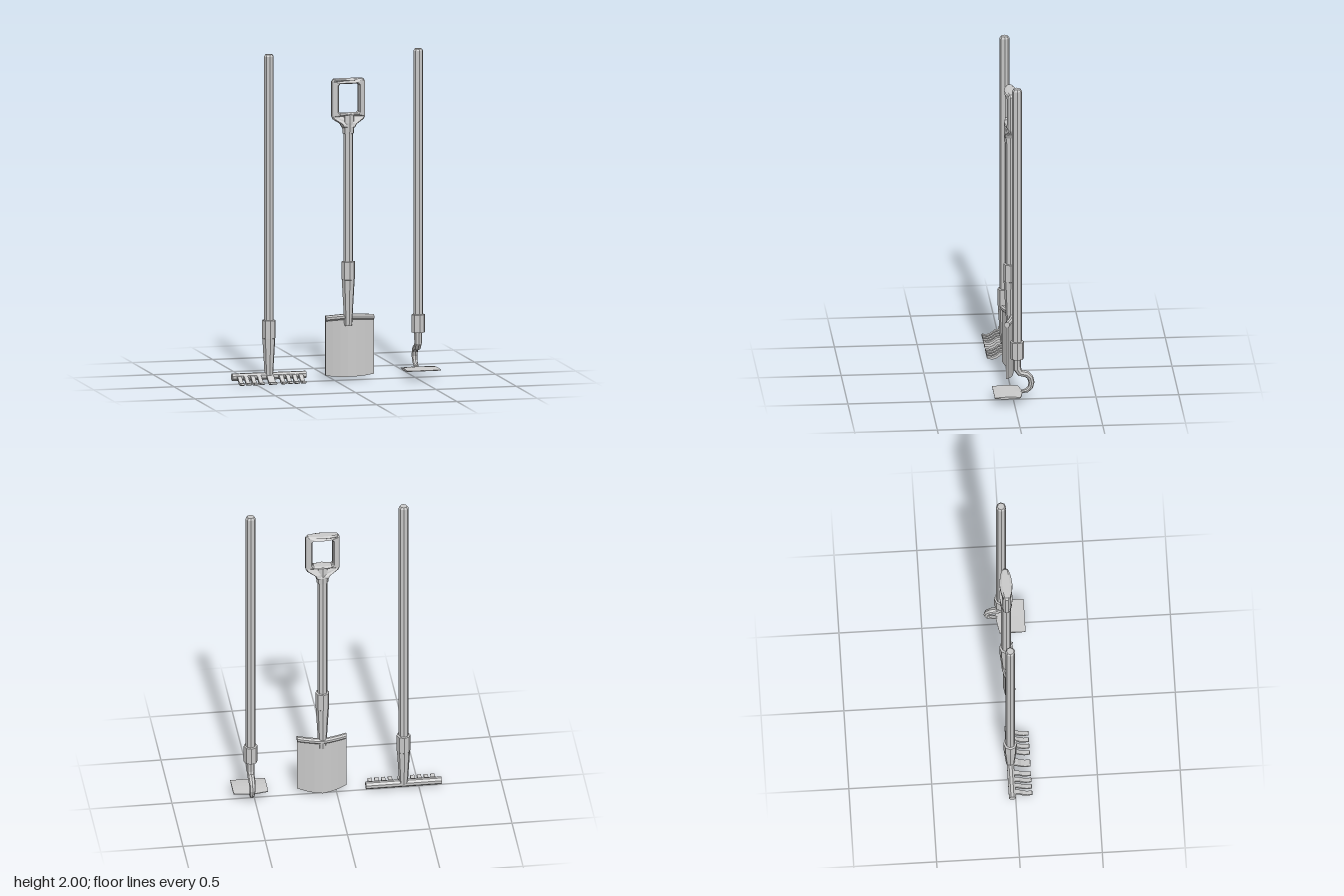
import * as THREE from 'three';

const material = new THREE.MeshStandardMaterial({ color: 0xcccccc, flatShading: true, side: THREE.DoubleSide });

function add(group, name, geometry, x = 0, y = 0, z = 0) {
  const mesh = new THREE.Mesh(geometry, material);
  mesh.name = name;
  mesh.position.set(x, y, z);
  group.add(mesh);
  return mesh;
}

// Move every vertex of a geometry by a rule
function bend(geometry, rule) {
  const p = geometry.attributes.position;
  const v = new THREE.Vector3();
  for (let i = 0; i < p.count; i++) {
    v.fromBufferAttribute(p, i);
    rule(v);
    p.setXYZ(i, v.x, v.y, v.z);
  }
  geometry.computeVertexNormals();
  return geometry;
}

// Eight-sided turned part from [radius, y] pairs, bottom to top
const turned = (profile) => new THREE.LatheGeometry(profile.map(([r, y]) => new THREE.Vector2(r, y)), 8);

const pole = (bottom, top) => turned([[0, bottom], [0.03, bottom], [0.03, top - 0.012], [0.022, top], [0, top]]);

// Tapering tube along [y, z, radius] stations in the x = 0 plane
function taperedTube(stations, sides = 8) {
  const pos = [], index = [];
  stations.forEach(([y, z, r], i) => {
    const a = stations[Math.max(i - 1, 0)], b = stations[Math.min(i + 1, stations.length - 1)];
    const len = Math.hypot(b[0] - a[0], b[1] - a[1]);
    const ny = -(b[1] - a[1]) / len, nz = (b[0] - a[0]) / len;
    for (let j = 0; j < sides; j++) {
      const t = (j / sides) * Math.PI * 2, s = Math.sin(t) * r;
      pos.push(Math.cos(t) * r, y + ny * s, z + nz * s);
      if (i > 0) {
        const k = (j + 1) % sides, p = (i - 1) * sides, q = i * sides;
        index.push(p + j, q + j, p + k, p + k, q + j, q + k);
      }
    }
  });
  // end caps
  const last = (stations.length - 1) * sides;
  for (let j = 1; j < sides - 1; j++) index.push(0, j, j + 1, last, last + j + 1, last + j);
  const g = new THREE.BufferGeometry();
  g.setAttribute('position', new THREE.Float32BufferAttribute(pos, 3));
  g.setIndex(index);
  g.computeVertexNormals();
  return g;
}

// Curved flat tine: a thin side profile extruded across its width
function tineGeometry(width) {
  const upper = [[-0.01, 0.05], [0.025, 0.043], [0.045, 0.026], [0.07, 0.015], [0.1, 0.019]];
  const lower = [[0.102, 0.008], [0.07, 0], [0.04, 0.01], [0.018, 0.028], [-0.01, 0.032]];
  const shape = new THREE.Shape([...upper, ...lower].map(([z, y]) => new THREE.Vector2(-z, y)));
  const g = new THREE.ExtrudeGeometry(shape, { depth: width, bevelEnabled: false });
  g.translate(0, 0, -width / 2);
  g.rotateY(Math.PI / 2);
  return g;
}

function createRake() {
  const rake = new THREE.Group();
  rake.name = 'rake';
  add(rake, 'rakePole', pole(0.3, 2), 0, 0, -0.02);
  add(rake, 'rakeSocket', turned([[0, 0.04], [0.026, 0.04], [0.04, 0.27], [0.042, 0.272], [0.042, 0.38], [0.03, 0.382]]), 0, 0, -0.02);
  const bar = new THREE.CylinderGeometry(0.023, 0.023, 0.46, 8);
  bar.rotateY(Math.PI / 8);
  bar.rotateZ(Math.PI / 2);
  add(rake, 'rakeBar', bar, 0, 0.041, -0.02);
  add(rake, 'middleTine', tineGeometry(0.042));
  for (const side of [-1, 1])
    for (let i = 0; i < 4; i++) add(rake, 'tine', tineGeometry(0.025), side * (0.068 + i * 0.041));
  return rake;
}

// Grip outline half, mirrored; hole walls share the lens-shaped depth
function gripGeometry() {
  const right = [[0.035, 1.54], [0.045, 1.56], [0.092, 1.59], [0.1, 1.605], [0.1, 1.82], [0.09, 1.832], [0.05, 1.832]];
  const mirror = (pts) => [...pts, [0, pts.at(-1)[1]], ...pts.map(([x, y]) => [-x, y]).reverse()]
    .map(([x, y]) => new THREE.Vector2(x, y));
  const shape = new THREE.Shape(mirror(right));
  const hole = [[0.025, 1.622], [0.055, 1.622], [0.065, 1.634], [0.065, 1.796], [0.055, 1.808], [0.03, 1.808]];
  shape.holes.push(new THREE.Path([new THREE.Vector2(0, 1.622), ...mirror(hole)]));
  const g = new THREE.ExtrudeGeometry(shape, {
    depth: 1.2, bevelEnabled: true, bevelThickness: 0.4, bevelSize: 0.007, bevelOffset: -0.004, bevelSegments: 1,
  });
  return bend(g, (v) => {
    const t = Math.min(Math.abs(v.x) / 0.103, 1);
    v.z = (v.z - 0.6) * (0.039 - 0.025 * t * t);
  });
}

function createSpade() {
  const spade = new THREE.Group();
  spade.name = 'spade';
  const curve = (x) => -0.028 + 0.045 * Math.pow(Math.abs(x) / 0.15, 1.4);
  add(spade, 'spadePole', pole(0.62, 1.57), 0, 0, -0.015);
  add(spade, 'spadeSocket', turned([[0, 0.33], [0.024, 0.33], [0.04, 0.61], [0.042, 0.612], [0.042, 0.72], [0.03, 0.722]]), 0, 0, -0.015);
  add(spade, 'gripNeck', turned([[0.03, 1.5], [0.036, 1.502], [0.039, 1.57], [0.036, 1.622], [0, 1.622]]), 0, 0, -0.015);
  add(spade, 'grip', gripGeometry(), 0, 0, -0.017);

  // Dished blade with a bowed cutting edge
  const blade = bend(new THREE.BoxGeometry(0.3, 1, 0.012, 6, 3, 1), (v) => {
    const bottom = 0.016 + 0.02 * Math.pow(v.x / 0.15, 2);
    v.z = v.z + curve(v.x);
    v.y = THREE.MathUtils.lerp(bottom, 0.385, v.y + 0.5);
  });
  add(spade, 'spadeBlade', blade);

  // Rolled tread along the top of the blade
  const tread = new THREE.CylinderGeometry(0.018, 0.018, 0.3, 8, 6);
  tread.rotateY(Math.PI / 8);
  tread.rotateZ(Math.PI / 2);
  add(spade, 'bladeTread', bend(tread, (v) => { v.z += curve(v.x); }), 0, 0.382, 0);
  return spade;
}

function createHoe() {
  const hoe = new THREE.Group();
  hoe.name = 'hoe';
  add(hoe, 'hoePole', pole(0.3, 2), 0, 0, -0.02);
  add(hoe, 'hoeSocket', turned([[0, 0.272], [0.042, 0.272], [0.042, 0.38], [0.03, 0.382]]), 0, 0, -0.02);
  add(hoe, 'gooseneck', taperedTube([
    [0.28, -0.02, 0.025], [0.205, -0.022, 0.024], [0.178, -0.04, 0.022], [0.168, -0.08, 0.021],
    [0.148, -0.1, 0.019], [0.115, -0.108, 0.018], [0.085, -0.1, 0.017], [0.065, -0.08, 0.015], [0.057, -0.045, 0.01],
  ]));
  // Horizontal blade, thickest in the middle, with a peaked rear edge
  const blade = bend(new THREE.BoxGeometry(0.21, 0.014, 1, 2, 1, 4), (v) => {
    const t = v.z * 2;
    const back = -0.055 + 0.02 * Math.abs(v.x) / 0.105;
    v.y *= 1 - 0.7 * t * t;
    v.z = THREE.MathUtils.lerp(back, 0.122, v.z + 0.5);
  });
  add(hoe, 'hoeBlade', blade, 0, 0.056, 0);
  return hoe;
}

export function createModel() {
  const model = new THREE.Group();
  model.name = 'gardenTools';
  const tools = [[createRake(), -0.405], [createSpade(), 0.088], [createHoe(), 0.525]];
  for (const [tool, x] of tools) {
    tool.position.x = x;
    model.add(tool);
  }
  return model;
}
